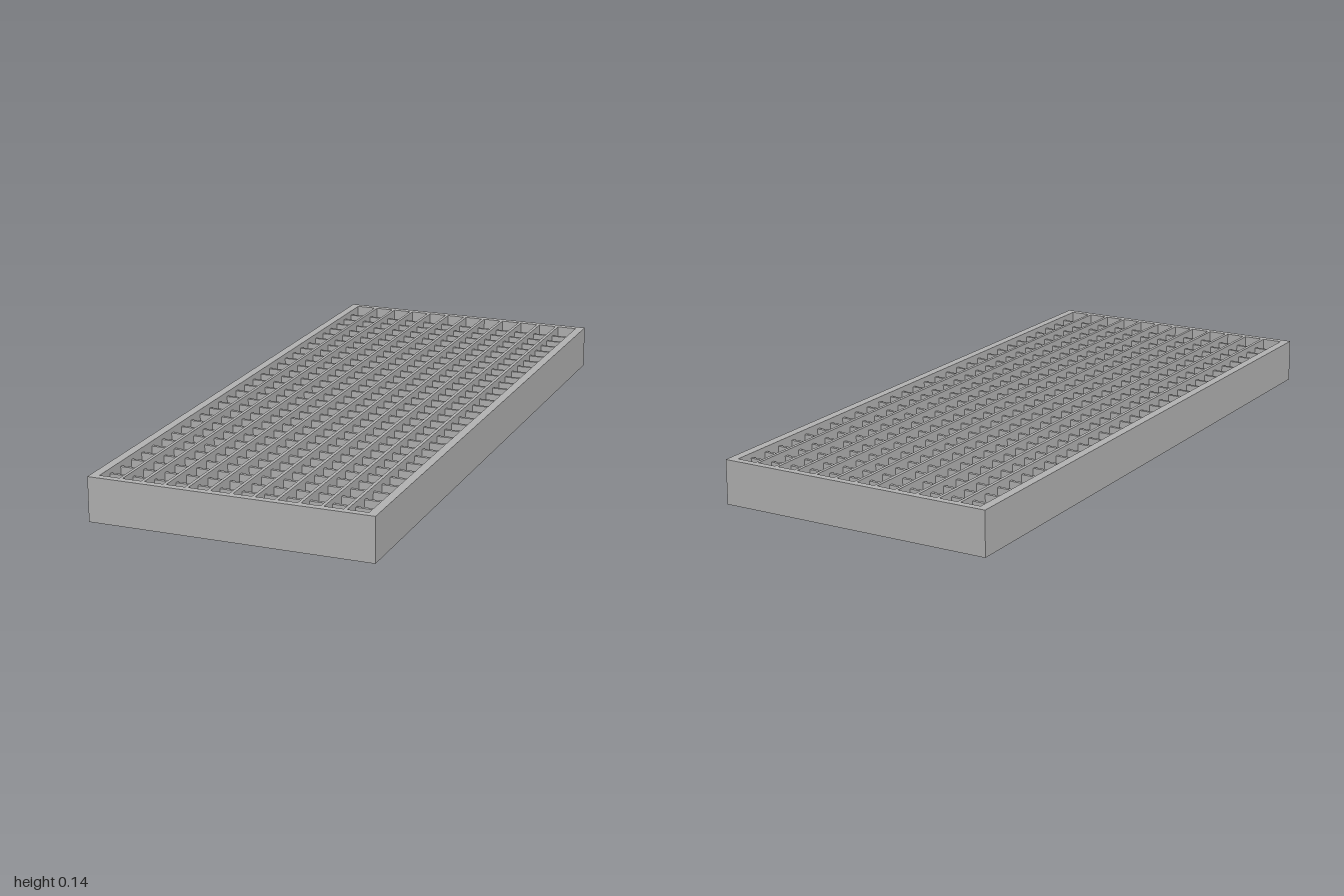
import * as THREE from 'three';

const HALF_X = 0.431, HALF_Z = 1, HEIGHT = 0.135;
const RIM_X = 0.027, RIM_Z = 0.022;   // wall thickness of the sides and ends
const COLUMNS = 12, ROWS = 30;        // openings across and along
const BAR = 0.01;

export function createModel() {
  const model = new THREE.Group();
  model.name = 'floorGrating';
  const steel = new THREE.MeshStandardMaterial({ color: 0xb2b2b2 });
  steel.name = 'grey steel';

  const innerX = HALF_X - RIM_X, innerZ = HALF_Z - RIM_Z;

  // Rectangular rim, extruded upwards with one large opening
  const outline = new THREE.Shape([
    new THREE.Vector2(-HALF_X, -HALF_Z), new THREE.Vector2(HALF_X, -HALF_Z),
    new THREE.Vector2(HALF_X, HALF_Z), new THREE.Vector2(-HALF_X, HALF_Z),
  ]);
  outline.holes.push(new THREE.Path([
    new THREE.Vector2(-innerX, -innerZ), new THREE.Vector2(-innerX, innerZ),
    new THREE.Vector2(innerX, innerZ), new THREE.Vector2(innerX, -innerZ),
  ]));
  const rimGeometry = new THREE.ExtrudeGeometry(outline, { depth: HEIGHT, bevelEnabled: false });
  rimGeometry.rotateX(-Math.PI / 2);
  const rim = new THREE.Mesh(rimGeometry, steel);
  rim.name = 'rim';
  model.add(rim);

  function addBars(name, count, geometry, axis, span) {
    const bars = new THREE.Group();
    bars.name = name;
    for (let i = 1; i < count; i++) {
      const bar = new THREE.Mesh(geometry, steel);
      bar.name = name + i;
      bar.position[axis] = -span + (2 * span * i) / count;
      bars.add(bar);
    }
    model.add(bars);
  }

  // Full-height bars along the length
  const longBar = new THREE.BoxGeometry(BAR, HEIGHT, innerZ * 2);
  longBar.translate(0, HEIGHT / 2, 0);
  addBars('bearingBar', COLUMNS, longBar, 'x', innerX);

  // Slightly lower bars across the width
  const crossHeight = HEIGHT - 0.015;
  const crossBar = new THREE.BoxGeometry(innerX * 2, crossHeight, BAR);
  crossBar.translate(0, crossHeight / 2, 0);
  addBars('crossBar', ROWS, crossBar, 'z', innerZ);

  return model;
}
